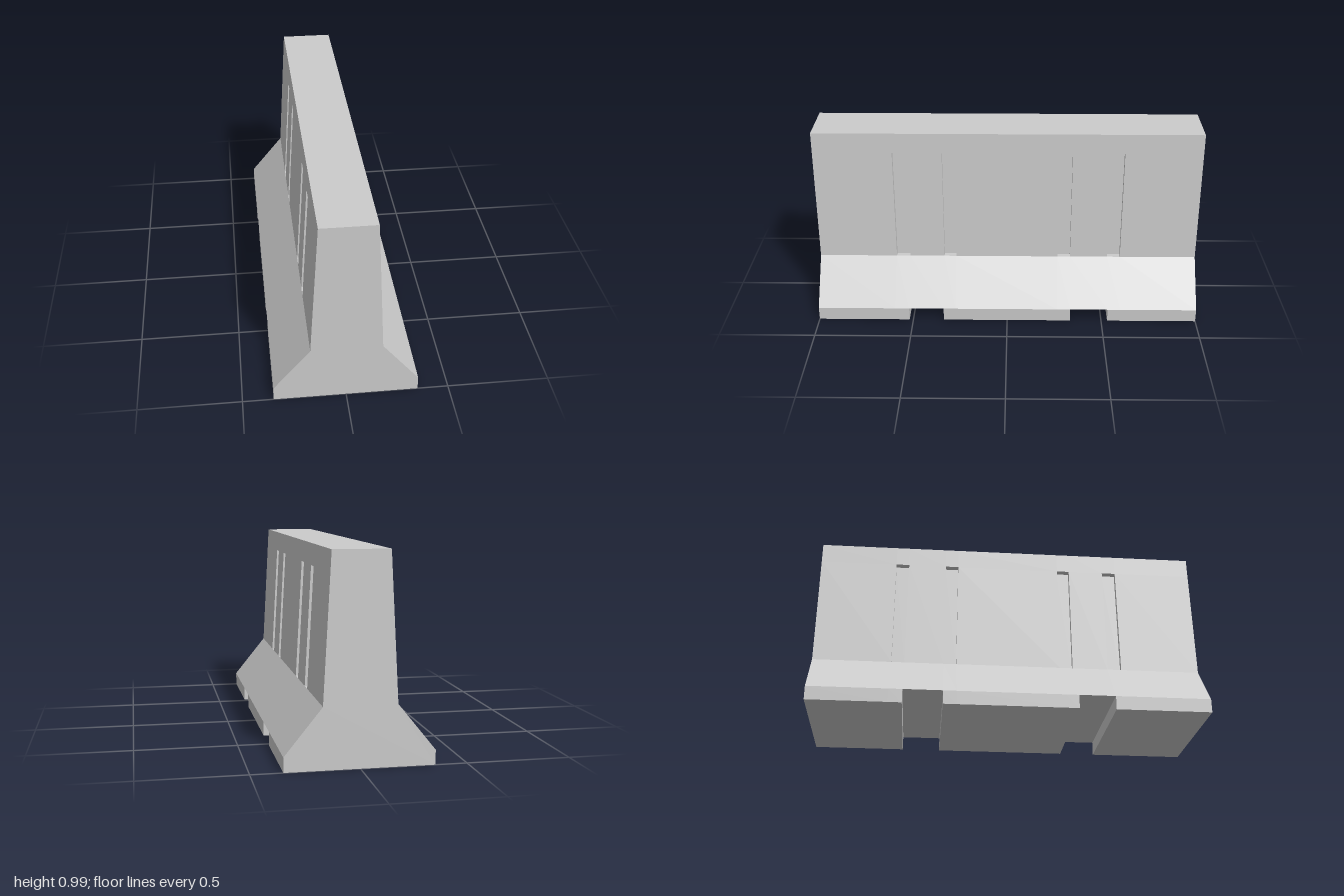
import * as THREE from 'three';

const FOOT = 0.35, KERB = 0.07;           // half width and height of the foot
const WAIST = [0.172, 0.29], TOP = [0.134, 0.985];
const SLOT_TOP = 0.88, SLOT_DEPTH = 0.027;

// Half width of the upper wall at height y
const wallX = y => THREE.MathUtils.mapLinear(y, WAIST[1], TOP[1], WAIST[0], TOP[0]);

// Closed cross-section, anticlockwise seen from +z, always 14 points
function section(kind) {
  const slot = kind === 'slot';
  const y0 = kind === 'notch' ? KERB : 0;
  const d = slot ? SLOT_DEPTH : 0;
  const half = [
    [FOOT, y0], [FOOT, KERB], WAIST,
    [WAIST[0] - d, WAIST[1]],
    [wallX(SLOT_TOP) - d, SLOT_TOP - (slot ? 0.004 : 0)],
    [wallX(SLOT_TOP), SLOT_TOP], TOP,
  ];
  return [...half, ...half.map(([x, y]) => [-x, y]).reverse()];
}

// Skin through the sections; zero-area triangles are dropped
function loft(rings) {
  const pos = [];
  const tri = new THREE.Triangle();
  const add = (a, b, c) => {
    tri.set(a, b, c);
    if (tri.getArea() > 1e-8) for (const p of [a, b, c]) pos.push(p.x, p.y, p.z);
  };
  for (let r = 0; r + 1 < rings.length; r++) {
    const A = rings[r], B = rings[r + 1];
    for (let i = 0; i < A.length; i++) {
      const j = (i + 1) % A.length;
      add(A[i], A[j], B[j]);
      add(A[i], B[j], B[i]);
    }
  }
  const geo = new THREE.BufferGeometry();
  geo.setAttribute('position', new THREE.Float32BufferAttribute(pos, 3));
  geo.computeVertexNormals();
  return geo;
}

export function createModel() {
  const group = new THREE.Group();
  group.name = 'roadBarrier';
  const material = new THREE.MeshStandardMaterial({ color: 0xcccccc, flatShading: true });

  // Body: wall slots and lifting notches alternate along the length
  const stations = [-1, -0.6, -0.532, -0.334, -0.267, 0.272, 0.337, 0.52, 0.592, 1];
  const kinds = ['solid', 'slot', 'notch', 'slot', 'solid', 'slot', 'notch', 'slot', 'solid'];
  const rings = [];
  kinds.forEach((kind, k) => {
    for (const z of [stations[k], stations[k + 1]])
      rings.push(section(kind).map(([x, y]) => new THREE.Vector3(x, y, z)));
  });
  const body = new THREE.Mesh(loft(rings), material);
  body.name = 'barrierBody';
  group.add(body);

  // Flat end faces
  const right = [[FOOT, 0], [FOOT, KERB], WAIST, TOP];
  const outline = [...right, ...right.map(([x, y]) => [-x, y]).reverse()];
  const endGeo = new THREE.ShapeGeometry(new THREE.Shape(outline.map(p => new THREE.Vector2(...p))));
  for (const s of [1, -1]) {
    const end = new THREE.Mesh(endGeo, material);
    end.name = s > 0 ? 'frontEnd' : 'backEnd';
    end.position.z = s;
    end.rotation.y = s > 0 ? 0 : Math.PI;
    group.add(end);
  }
  return group;
}
